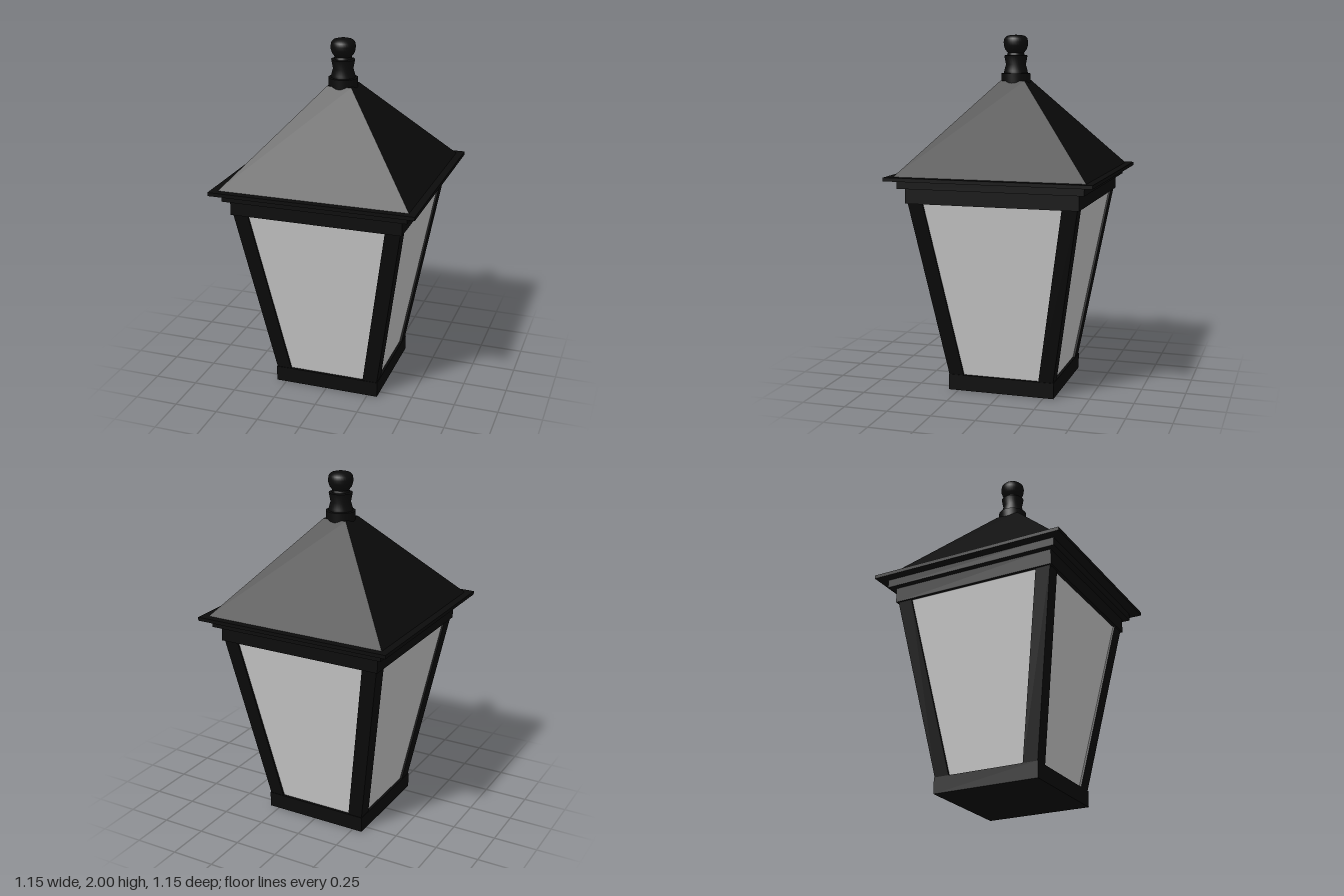
import * as THREE from 'three';
import { toCreasedNormals } from 'three/addons/utils/BufferGeometryUtils.js';

const black = new THREE.MeshStandardMaterial({ color: 0x0b0b0b });
const glass = new THREE.MeshStandardMaterial({ color: 0xcccccc });

// Square prism whose half-width and centre change from bottom (y0) to top (y1)
function taper(y0, y1, half0, half1, c0 = [0, 0], c1 = [0, 0]) {
  const geo = new THREE.BoxGeometry(2, 2, 2);
  const p = geo.attributes.position;
  for (let i = 0; i < p.count; i++) {
    const top = p.getY(i) > 0;
    const h = top ? half1 : half0;
    const c = top ? c1 : c0;
    p.setXYZ(i, p.getX(i) * h + c[0], top ? y1 : y0, p.getZ(i) * h + c[1]);
  }
  geo.computeVertexNormals();
  return geo;
}

export function createModel() {
  const model = new THREE.Group();
  model.name = 'lantern';
  const add = (name, geo, mat = black) => {
    const mesh = new THREE.Mesh(geo, mat);
    mesh.name = name;
    model.add(mesh);
  };

  // Base and tapering glass body
  add('base', taper(0, 0.09, 0.308, 0.308));
  add('glassPanes', taper(0.085, 1.1, 0.292, 0.466), glass);

  // Four slanted corner posts
  const w = 0.0425, bottom = 0.304 - w, top = 0.476 - w;
  for (const sx of [-1, 1]) {
    for (const sz of [-1, 1]) {
      add('cornerPost', taper(0.085, 1.1, w, w, [sx * bottom, sz * bottom], [sx * top, sz * top]));
    }
  }

  // Stepped cornice, eaves and hipped roof
  add('lowerCornice', taper(1.09, 1.18, 0.485, 0.485));
  add('upperCornice', taper(1.175, 1.225, 0.52, 0.52));
  add('eaves', taper(1.22, 1.24, 0.575, 0.575));
  add('roof', taper(1.238, 1.745, 0.535, 0.07));

  // Turned finial
  const profile = [
    [0, 1.72], [0.082, 1.72], [0.082, 1.785], [0.068, 1.787], [0.066, 1.8], [0.056, 1.835],
    [0.066, 1.885], [0.05, 1.888], [0.046, 1.9], [0.06, 1.918], [0.068, 1.94],
    [0.069, 1.96], [0.065, 1.98], [0.052, 1.993], [0.03, 1.999], [0, 2],
  ].map(([x, y]) => new THREE.Vector2(x, y));
  add('finial', toCreasedNormals(new THREE.LatheGeometry(profile, 32), 0.7));

  return model;
}
